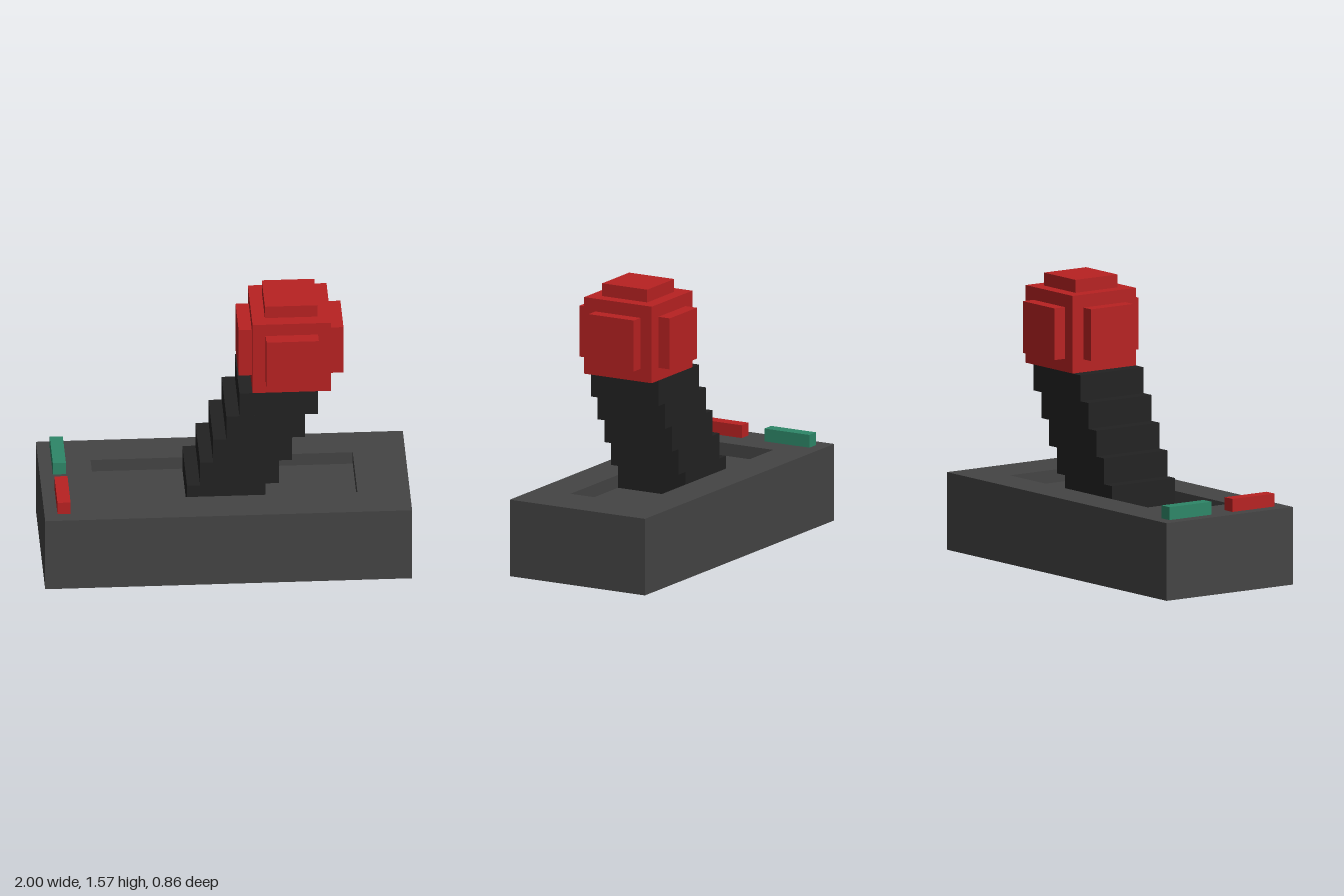
import * as THREE from 'three';

const U = 2 / 28; // one block unit

function material(name, color) {
  const m = new THREE.MeshStandardMaterial({ color });
  m.name = name;
  return m;
}

export function createModel() {
  const grey = material('base grey', 0x444444);
  const black = material('shaft black', 0x222222);
  const red = material('red', 0xb82222);
  const green = material('green', 0x2e8768);

  const model = new THREE.Group();
  model.name = 'lever';

  function group(name) {
    const g = new THREE.Group();
    g.name = name;
    model.add(g);
    return g;
  }

  // Box between two corners given in block units
  function block(parent, name, mat, [x0, y0, z0], [x1, y1, z1]) {
    const geo = new THREE.BoxGeometry((x1 - x0) * U, (y1 - y0) * U, (z1 - z0) * U);
    geo.translate((x0 + x1) / 2 * U, (y0 + y1) / 2 * U, (z0 + z1) / 2 * U);
    const mesh = new THREE.Mesh(geo, mat);
    mesh.name = name;
    parent.add(mesh);
  }

  // Base with a shallow slot in its top
  const base = group('base');
  const rect = (shape, x, z) => shape
    .moveTo(-x * U, -z * U).lineTo(x * U, -z * U)
    .lineTo(x * U, z * U).lineTo(-x * U, z * U).closePath();
  const outline = rect(new THREE.Shape(), 14, 6);
  outline.holes.push(rect(new THREE.Path(), 10, 3));
  const frame = new THREE.Mesh(
    new THREE.ExtrudeGeometry(outline, { depth: 6 * U, bevelEnabled: false }).rotateX(-Math.PI / 2),
    grey
  );
  frame.name = 'baseFrame';
  base.add(frame);
  block(base, 'slotFloor', grey, [-10, 0, -3], [10, 5, 3]);

  // Leaning shaft made of stepped slabs
  const shaft = group('shaft');
  for (let i = 0; i < 5; i++) {
    block(shaft, 'shaftStep', black, [-3 + i, 5 + 2 * i, -3], [3 + i, 7 + 2 * i, 3]);
  }

  // Knob: a cube with a raised panel on each exposed face
  const knob = group('knob');
  block(knob, 'knobCore', red, [2, 15, -3], [8, 21, 3]);
  block(knob, 'topPanel', red, [3, 21, -2], [7, 22, 2]);
  block(knob, 'leftPanel', red, [8, 16, -2], [9, 20, 2]);
  block(knob, 'rightPanel', red, [1, 16, -2], [2, 20, 2]);
  block(knob, 'frontPanel', red, [3, 16, 3], [7, 20, 4]);
  block(knob, 'backPanel', red, [3, 16, -4], [7, 20, -3]);

  // Indicator lights
  block(model, 'redLight', red, [-13, 6, 1], [-12, 7, 5]);
  block(model, 'greenLight', green, [-13, 6, -5], [-12, 7, -1]);

  return model;
}
